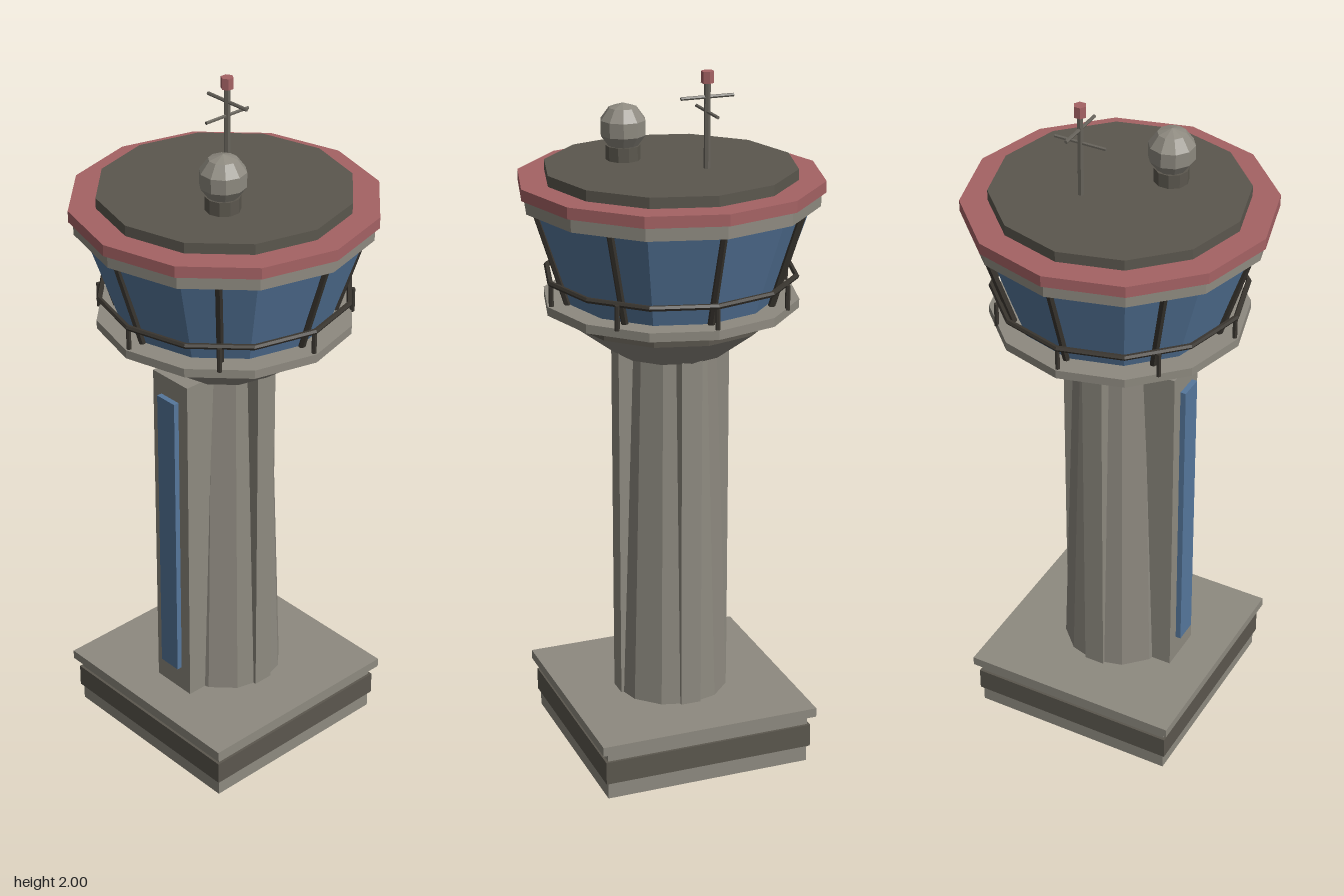
import * as THREE from 'three';

const mat = (name, color) => {
  const m = new THREE.MeshStandardMaterial({ color, flatShading: true });
  m.name = name;
  return m;
};

export function createModel() {
  const tower = new THREE.Group();
  tower.name = 'controlTower';

  const concrete = mat('concrete', 0x8e8a80);
  const dark = mat('darkConcrete', 0x5b574e);
  const glass = mat('blueGlass', 0x56779c);
  const red = mat('signalRed', 0xa56264);
  const frame = mat('darkFrame', 0x39352f);
  const metal = mat('metal', 0x67635b);

  const add = (name, geo, material, x = 0, y = 0, z = 0) => {
    const mesh = new THREE.Mesh(geo, material);
    mesh.name = name;
    mesh.position.set(x, y, z);
    tower.add(mesh);
    return mesh;
  };
  // Box and drum given by their bottom and top heights
  const box = (name, m, w, d, y0, y1, x = 0, z = 0) =>
    add(name, new THREE.BoxGeometry(w, y1 - y0, d), m, x, (y0 + y1) / 2, z);
  const drum = (name, m, r0, r1, y0, y1, sides = 12, x = 0, z = 0) =>
    add(name, new THREE.CylinderGeometry(r1, r0, y1 - y0, sides), m, x, (y0 + y1) / 2, z);
  // Round bar between two points
  const bar = (name, m, a, b, r, sides = 6) => {
    const dir = b.clone().sub(a);
    const mesh = add(name, new THREE.CylinderGeometry(r, r, dir.length(), sides), m);
    mesh.position.copy(a).add(b).multiplyScalar(0.5);
    mesh.quaternion.setFromUnitVectors(new THREE.Vector3(0, 1, 0), dir.normalize());
    return mesh;
  };
  const polar = (r, angle, y) => new THREE.Vector3(r * Math.sin(angle), y, r * Math.cos(angle));

  // Stepped square base
  box('baseFooting', concrete, 0.61, 0.61, 0, 0.05);
  box('baseBand', dark, 0.625, 0.625, 0.05, 0.118);
  box('baseUpper', concrete, 0.61, 0.61, 0.118, 0.148);
  box('baseCap', concrete, 0.65, 0.65, 0.148, 0.175);

  // Tapered shaft with upright ribs on the sides and back
  drum('shaft', concrete, 0.165, 0.13, 0.17, 1.22);
  box('sideRib', concrete, 0.1, 0.06, 0.17, 1.22, 0.115, 0);
  box('sideRib', concrete, 0.1, 0.06, 0.17, 1.22, -0.115, 0);
  box('backRib', concrete, 0.06, 0.1, 0.17, 1.22, 0, -0.115);

  // Front stair pier with its tall window
  box('frontPier', concrete, 0.14, 0.156, 0.17, 1.22, 0, 0.127);
  box('stairWindow', glass, 0.07, 0.016, 0.255, 1.16, 0, 0.214);

  // Flared collar and walkway
  drum('collar', concrete, 0.165, 0.285, 1.215, 1.305);
  drum('collarBand', dark, 0.285, 0.285, 1.305, 1.345);
  drum('walkway', concrete, 0.358, 0.358, 1.345, 1.37);

  // Cab glazing
  drum('cabGlass', glass, 0.295, 0.385, 1.37, 1.635);

  // Window posts and railing posts
  for (let i = 0; i < 8; i++) {
    const a = (i * Math.PI) / 4;
    bar('windowPost', frame, polar(0.3, a, 1.37), polar(0.385, a, 1.635), 0.01);
    bar('railPost', frame, polar(0.347, a, 1.365), polar(0.347, a, 1.435), 0.007);
  }
  const rail = add('handrail', new THREE.TorusGeometry(0.349, 0.008, 6, 12), frame, 0, 1.435, 0);
  rail.rotation.x = Math.PI / 2;

  // Roof
  drum('roofFascia', concrete, 0.412, 0.412, 1.635, 1.673);
  drum('roofRim', red, 0.425, 0.425, 1.673, 1.705);
  drum('roofDeck', dark, 0.35, 0.35, 1.705, 1.735);

  // Radar dome on its pedestal
  drum('domePedestal', dark, 0.048, 0.048, 1.73, 1.775, 10, 0.1, 0.1);
  add('radarDome', new THREE.SphereGeometry(0.067, 10, 5), concrete, 0.1, 1.825, 0.1);

  // Antenna mast, crossed aerials and warning lamp
  drum('mast', metal, 0.009, 0.009, 1.73, 1.97, 6, -0.076, -0.076);
  const v = (x, y, z) => new THREE.Vector3(x, y, z);
  bar('aerial', metal, v(-0.152, 1.93, -0.076), v(0, 1.93, -0.076), 0.005);
  bar('aerial', metal, v(-0.076, 1.89, -0.152), v(-0.076, 1.89, 0), 0.005);
  drum('warningLamp', red, 0.018, 0.018, 1.968, 2, 6, -0.076, -0.076);

  return tower;
}
